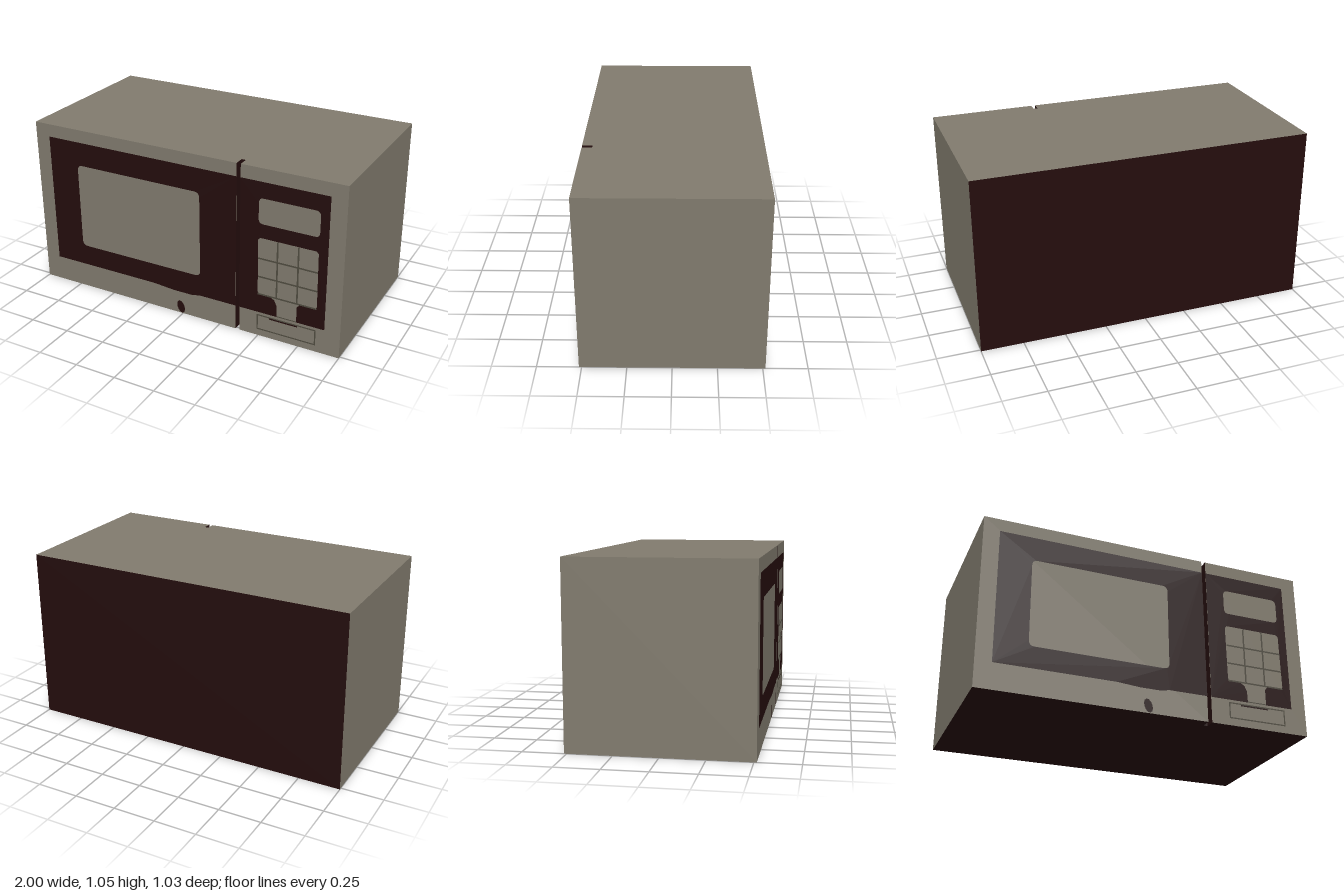
import * as THREE from 'three';

const W = 1, H = 1.05, D = 0.515;               // half width, height, half depth
const GAP_L = 0.355, GAP_R = 0.38, GAP_Z = 0.455; // door gap

function material(name, color) {
  const m = new THREE.MeshStandardMaterial({ color });
  m.name = name;
  return m;
}

function polygon(points, Type = THREE.Shape) {
  return new Type(points.map(([x, y]) => new THREE.Vector2(x, y)));
}

function roundedRect(x0, y0, x1, y1, r, Type = THREE.Path) {
  const p = new Type();
  p.moveTo(x0 + r, y0);
  p.lineTo(x1 - r, y0);
  p.quadraticCurveTo(x1, y0, x1, y0 + r);
  p.lineTo(x1, y1 - r);
  p.quadraticCurveTo(x1, y1, x1 - r, y1);
  p.lineTo(x0 + r, y1);
  p.quadraticCurveTo(x0, y1, x0, y1 - r);
  p.lineTo(x0, y0 + r);
  p.quadraticCurveTo(x0, y0, x0 + r, y0);
  return p;
}

export function createModel() {
  const model = new THREE.Group();
  model.name = 'microwaveOven';
  const beige = material('warmGrey', 0x807a6d);
  const dark = material('darkMaroon', 0x240d0d);
  const line = material('grooveGrey', 0x4f4b40);

  const add = (name, geometry, mat, parent = model) => {
    const mesh = new THREE.Mesh(geometry, mat);
    mesh.name = name;
    parent.add(mesh);
    return mesh;
  };
  // Flat face lying just in front of the body
  const plate = (name, shape, mat, lift = 0.002) => {
    const mesh = add(name, new THREE.ShapeGeometry(shape, 6), mat);
    mesh.position.z = D + lift;
    return mesh;
  };

  // Body: floor plan with the door gap, extruded upward
  const plan = polygon([
    [-W, -D], [GAP_L, -D], [GAP_L, -GAP_Z], [GAP_R, -GAP_Z], [GAP_R, -D], [W, -D], [W, D], [-W, D],
  ]);
  const body = new THREE.ExtrudeGeometry(plan, { depth: H, bevelEnabled: false });
  body.rotateX(-Math.PI / 2);

  // Back, underside and gap walls are dark; the rest is grey
  body.clearGroups();
  const pos = body.attributes.position, nor = body.attributes.normal;
  for (let i = 0; i < pos.count; i += 3) {
    const ny = nor.getY(i), nz = nor.getZ(i);
    const inGap = Math.abs(ny) < 0.5 && [0, 1, 2].every((k) => {
      const x = pos.getX(i + k);
      return x > GAP_L - 0.01 && x < GAP_R + 0.01;
    });
    body.addGroup(i, 3, ny < -0.5 || nz < -0.5 || inGap ? 1 : 0);
  }
  add('body', body, [beige, dark]);

  // Door panel with window opening
  const door = polygon([
    [-0.905, 0.157], [-0.2, 0.157], [-0.06, 0.146], [0.06, 0.146], [0.12, 0.157],
    [GAP_L, 0.157], [GAP_L, 0.972], [-0.905, 0.972],
  ]);
  door.holes.push(roundedRect(-0.71, 0.288, 0.122, 0.825, 0.035));
  plate('doorPanel', door, dark);

  // Control panel, its outline running around the keypad and its stem
  const control = polygon([
    [GAP_R, 0.157], [0.617, 0.157], [0.615, 0.225], [0.6, 0.26], [0.575, 0.275], [0.51, 0.275],
    [0.495, 0.29], [0.492, 0.62], [0.505, 0.634], [0.84, 0.634], [0.853, 0.622], [0.857, 0.29],
    [0.845, 0.275], [0.755, 0.275], [0.737, 0.255], [0.737, 0.157], [0.907, 0.157],
    [0.907, 0.972], [GAP_R, 0.972],
  ]);
  control.holes.push(roundedRect(0.493, 0.72, 0.855, 0.875, 0.03));
  plate('controlPanel', control, dark);

  // Keypad grooves
  const bar = (name, x0, y0, x1, y1, mat = line) =>
    plate(name, polygon([[x0, y0], [x1, y0], [x1, y1], [x0, y1]]), mat, 0.003);
  for (const x of [0.612, 0.737]) bar('keypadColumnGroove', x - 0.005, 0.275, x + 0.005, 0.632);
  for (const y of [0.278, 0.39, 0.506]) bar('keypadRowGroove', 0.495, y - 0.005, 0.855, y + 0.005);
  bar('stemGroove', 0.617, 0.157, 0.737, 0.163);

  // Door release button outline and the shadow slot above it
  const frame = polygon([[0.492, 0.042], [0.857, 0.042], [0.857, 0.142], [0.492, 0.142]]);
  frame.holes.push(polygon([[0.5, 0.05], [0.5, 0.134], [0.849, 0.134], [0.849, 0.05]], THREE.Path));
  plate('releaseButtonOutline', frame, line, 0.003);
  bar('releaseButtonSlot', 0.57, 0.126, 0.745, 0.135, dark);

  // Small dark mark below the door
  const mark = new THREE.Shape();
  mark.absellipse(-0.012, 0.044, 0.025, 0.042, 0, Math.PI * 2, false, 0.28);
  plate('doorMark', mark, dark);

  return model;
}
